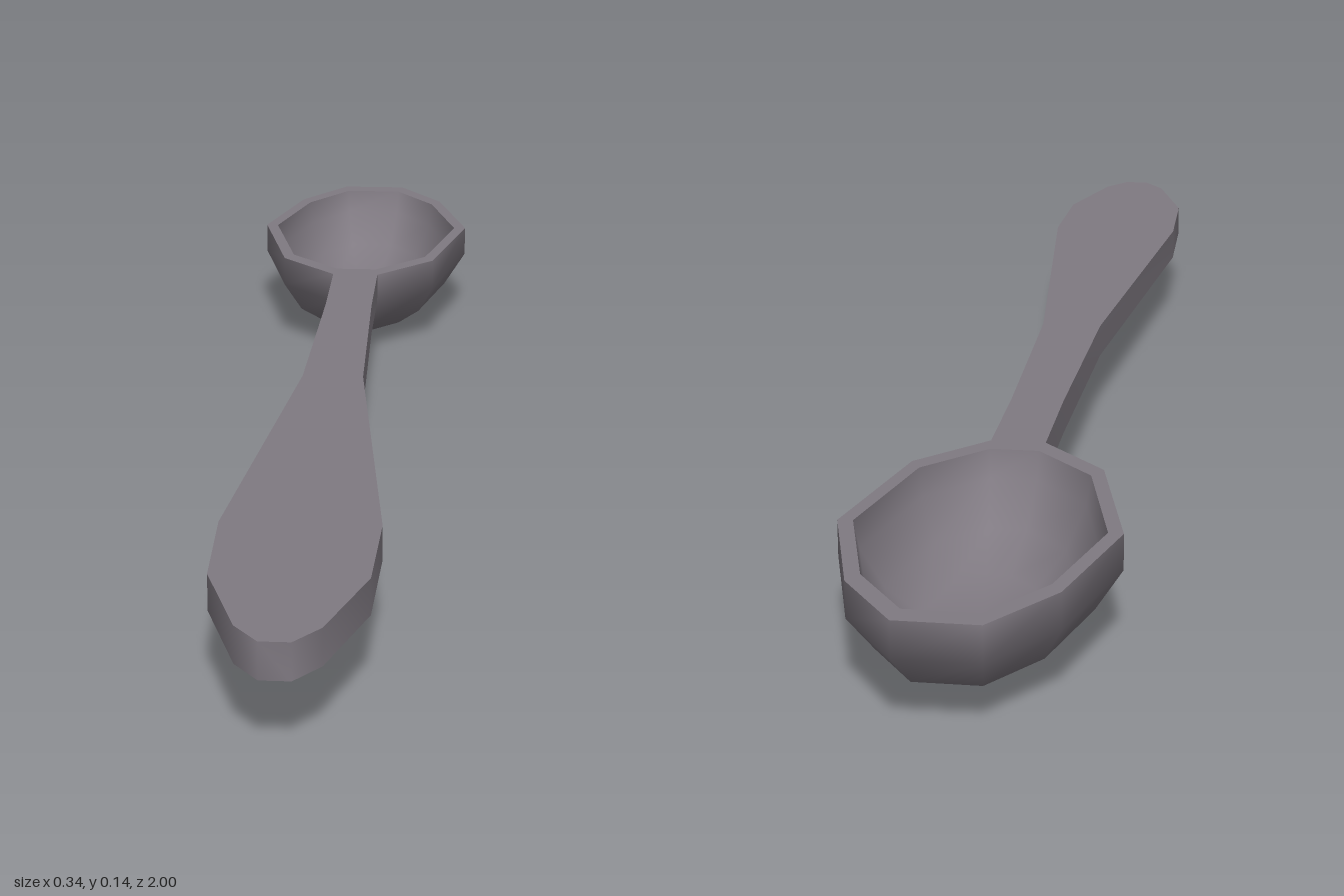
import * as THREE from 'three';
import { toCreasedNormals } from 'three/addons/utils/BufferGeometryUtils.js';

const BOWL_Z = -0.71;
const RIM_Y = 0.135;
const LOW_Y = 0.09;

// Mirrors a list of [halfWidth, z] into a closed outline, right side then left side.
function mirrored(half) {
  return [...half, ...half.map(([x, z]) => [-x, z]).reverse()];
}

const bowlOutline = mirrored([
  [0.05, -1], [0.12, -0.9], [0.168, -0.72], [0.12, -0.51], [0.035, -0.42],
]);

const handleOutline = mirrored([
  [0.035, -0.42], [0.035, -0.25], [0.042, 0.1], [0.097, 0.66],
  [0.092, 0.82], [0.048, 0.96], [0.018, 1],
]);

// Skins a stack of scaled outlines, given as [scale, y].
function skinRings(rings) {
  const n = bowlOutline.length;
  const positions = [];
  const index = [];
  for (const [scale, y] of rings) {
    for (const [x, z] of bowlOutline) {
      positions.push(x * scale, y, BOWL_Z + (z - BOWL_Z) * scale);
    }
  }
  for (let r = 0; r < rings.length - 1; r++) {
    for (let i = 0; i < n; i++) {
      const a = r * n + i;
      const b = r * n + (i + 1) % n;
      index.push(a, a + n, b, b, a + n, b + n);
    }
  }
  const geometry = new THREE.BufferGeometry();
  geometry.setAttribute('position', new THREE.Float32BufferAttribute(positions, 3));
  geometry.setIndex(index);
  geometry.computeVertexNormals();
  return geometry;
}

export function createModel() {
  const metal = new THREE.MeshStandardMaterial({ color: 0x807a82 });
  metal.name = 'warm grey metal';

  const model = new THREE.Group();
  model.name = 'spoon';
  const add = (name, geometry, parent) => {
    const mesh = new THREE.Mesh(geometry, metal);
    mesh.name = name;
    parent.add(mesh);
    return mesh;
  };

  // Bowl: smooth shells separated by a crisp flat rim
  const bowl = new THREE.Group();
  bowl.name = 'bowl';
  model.add(bowl);
  add('bowlOutside', skinRings([[0, 0], [0.51, 0], [0.8, 0.038], [1, LOW_Y], [1, RIM_Y]]), bowl);
  add('bowlRim', skinRings([[1, RIM_Y], [0.89, RIM_Y]]), bowl);
  add('bowlInside', skinRings([[0.89, RIM_Y], [0.85, 0.1], [0.68, 0.052], [0.43, 0.02], [0, 0.02]]), bowl);

  // Handle: flat plate, narrow at the neck and broad at the end
  const shape = new THREE.Shape(handleOutline.map(([x, z]) => new THREE.Vector2(x, -z)));
  const plate = new THREE.ExtrudeGeometry(shape, { depth: RIM_Y - LOW_Y, bevelEnabled: false });
  plate.rotateX(-Math.PI / 2);
  plate.translate(0, LOW_Y, 0);
  add('handle', toCreasedNormals(plate, 1), model);

  return model;
}
